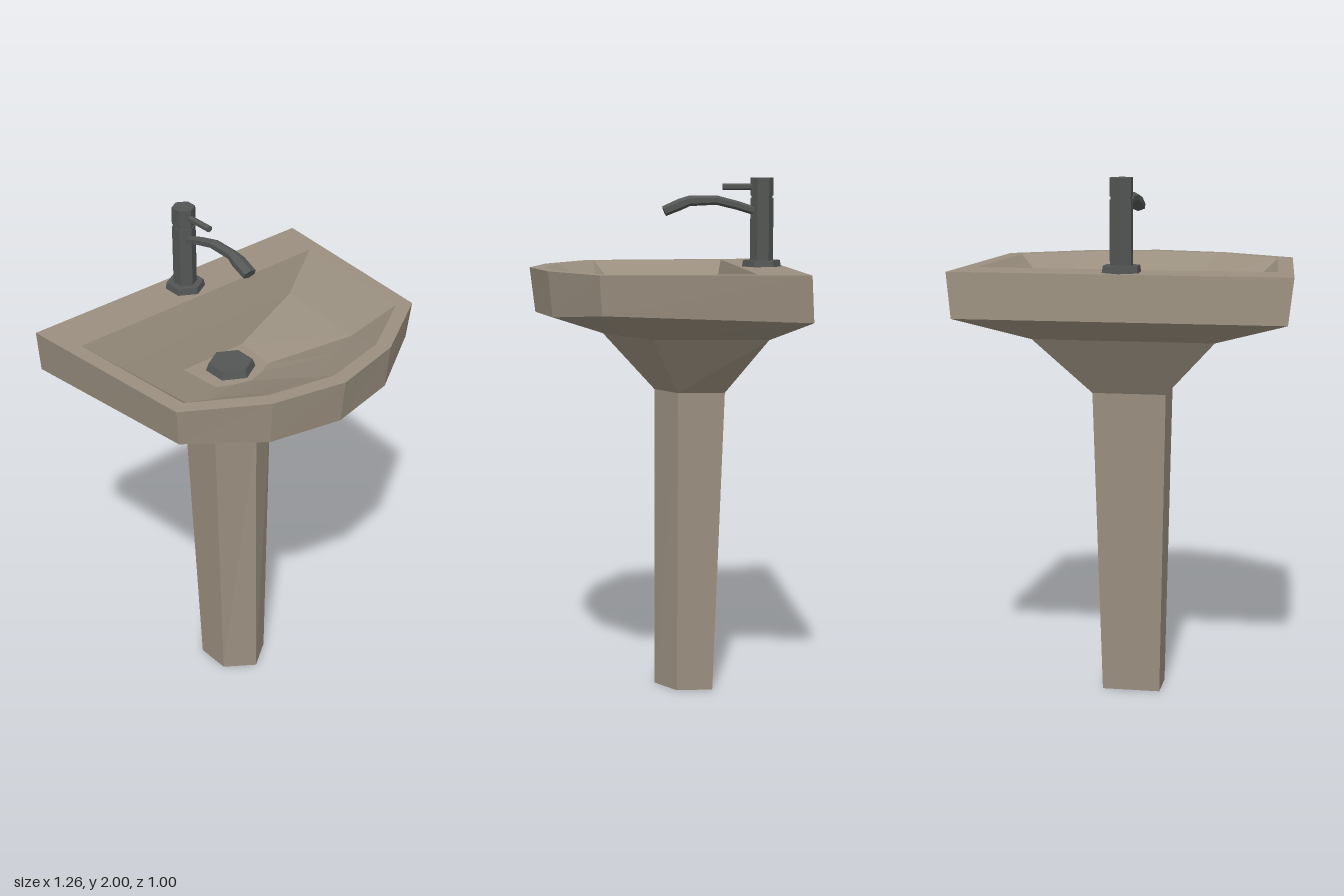
import * as THREE from 'three';

// Skin a list of equal-length rings and close both ends
function loft(rings) {
  const pos = [], n = rings[0].length;
  const tri = (a, b, c) => pos.push(...a, ...b, ...c);
  for (let r = 0; r < rings.length - 1; r++) {
    const a = rings[r], b = rings[r + 1];
    for (let i = 0; i < n; i++) {
      const j = (i + 1) % n;
      tri(a[i], b[i], a[j]);
      tri(b[i], b[j], a[j]);
    }
  }
  const first = rings[0], last = rings[rings.length - 1];
  for (let i = 1; i < n - 1; i++) {
    tri(first[0], first[i], first[i + 1]);
    tri(last[0], last[i + 1], last[i]);
  }
  const g = new THREE.BufferGeometry();
  g.setAttribute('position', new THREE.Float32BufferAttribute(pos, 3));
  g.computeVertexNormals();
  return g;
}

// Half outline [x, y, z] from back corner to front centre, mirrored in x
const mirrored = half => [
  ...half,
  ...half.slice(0, -1).reverse().map(([x, y, z]) => [-x, y, z]),
];

export function createModel() {
  const model = new THREE.Group();
  model.name = 'pedestalSink';
  const ceramic = new THREE.MeshStandardMaterial({ color: 0x9a8f7f });
  ceramic.name = 'ceramic';
  const metal = new THREE.MeshStandardMaterial({ color: 0x535654 });
  metal.name = 'darkMetal';
  ceramic.flatShading = metal.flatShading = true;

  const add = (parent, name, geometry, material) => {
    const mesh = new THREE.Mesh(geometry, material);
    mesh.name = name;
    parent.add(mesh);
    return mesh;
  };

  // Pedestal: five-sided tapering column
  const neck = [[0.14, 1.185, -0.24], [0.14, 1.185, -0.06], [0, 1.185, 0.02]];
  add(model, 'pedestal', loft([
    mirrored([[0.112, 0, -0.2], [0.112, 0, -0.06], [0, 0, 0.02]]),
    mirrored(neck),
  ]), ceramic);

  // Basin: outside from the neck up, over the rim, and down into the bowl
  add(model, 'basin', loft([
    [neck[0], neck[1], [0.07, 1.185, -0.02], neck[2]],
    [[0.34, 1.405, -0.38], [0.3, 1.405, 0.05], [0.15, 1.405, 0.14], [0, 1.405, 0.22]],
    [[0.613, 1.49, -0.5], [0.555, 1.515, 0.25], [0.28, 1.49, 0.42], [0, 1.49, 0.48]],
    [[0.632, 1.66, -0.488], [0.57, 1.66, 0.26], [0.285, 1.66, 0.435], [0, 1.66, 0.5]],
    [[0.56, 1.66, -0.305], [0.515, 1.66, 0.23], [0.26, 1.66, 0.385], [0, 1.66, 0.44]],
    [[0.42, 1.53, -0.265], [0.38, 1.53, 0.13], [0.2, 1.57, 0.235], [0, 1.59, 0.31]],
    [[0.145, 1.42, -0.235], [0.13, 1.42, -0.06], [0.065, 1.42, -0.03], [0, 1.42, -0.01]],
  ].map(mirrored)), ceramic);

  // Six-sided upright pieces, given by their bottom and top heights
  const hex = (parent, name, rTop, rBottom, y0, y1, z) => {
    const g = new THREE.CylinderGeometry(rTop, rBottom, y1 - y0, 6);
    add(parent, name, g, metal).position.set(0, (y0 + y1) / 2, z);
  };
  hex(model, 'drain', 0.085, 0.1, 1.41, 1.45, -0.13);

  const faucet = new THREE.Group();
  faucet.name = 'faucet';
  model.add(faucet);
  const fz = -0.397;
  hex(faucet, 'faucetFlange', 0.072, 0.077, 1.655, 1.685, fz);
  hex(faucet, 'faucetBody', 0.045, 0.045, 1.68, 1.922, fz);
  hex(faucet, 'faucetNeck', 0.041, 0.041, 1.92, 1.934, fz);
  hex(faucet, 'faucetCap', 0.045, 0.045, 1.932, 2, fz);

  // Lever
  const lever = new THREE.CylinderGeometry(0.013, 0.013, 0.125, 6);
  lever.rotateX(Math.PI / 2);
  add(faucet, 'lever', lever, metal).position.set(0, 1.966, -0.307);

  // Arched spout: [z, y, half width, half height]
  const path = [
    [-0.38, 1.87, 0.019, 0.016],
    [-0.3, 1.895, 0.019, 0.017],
    [-0.22, 1.915, 0.019, 0.018],
    [-0.115, 1.912, 0.019, 0.02],
    [-0.08, 1.899, 0.026, 0.022],
    [-0.018, 1.873, 0.026, 0.02],
  ];
  const spoutRings = path.map(([z, y, w, h], k) => {
    const p = path[Math.max(k - 1, 0)], q = path[Math.min(k + 1, path.length - 1)];
    const len = Math.hypot(q[0] - p[0], q[1] - p[1]);
    const uy = (q[0] - p[0]) / len, uz = -(q[1] - p[1]) / len;
    return Array.from({ length: 6 }, (_, i) => {
      const t = (i + 0.5) * Math.PI / 3;
      const s = -Math.sin(t) * h;
      return [Math.cos(t) * w * 1.15, y + uy * s, z + uz * s];
    });
  });
  add(faucet, 'spout', loft(spoutRings), metal);

  return model;
}
